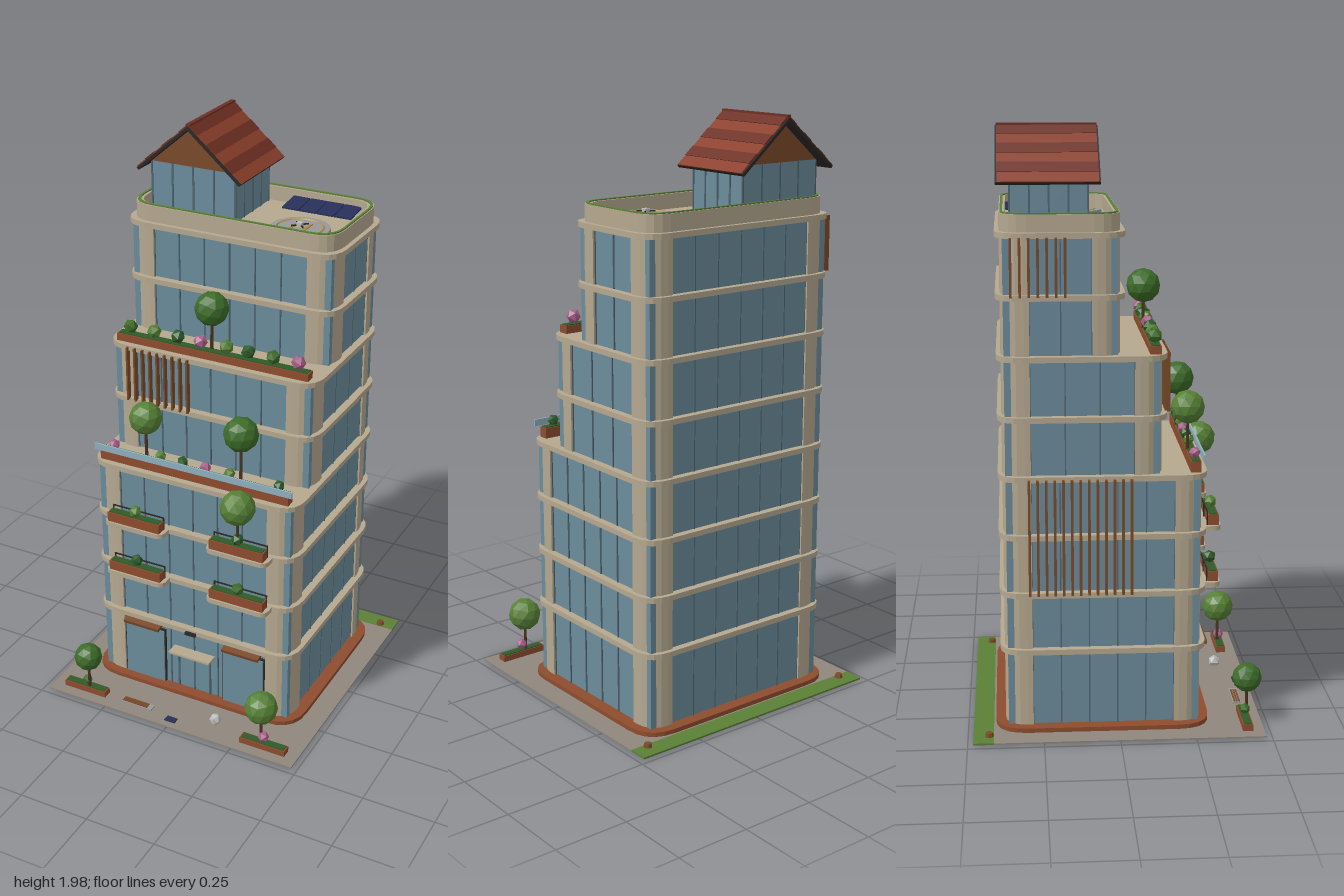
import * as THREE from 'three';

const mat = (color) => new THREE.MeshStandardMaterial({ color, flatShading: true });
const M = {
  cream: mat(0xb5a88f), glass: mat(0x6c8c9c), pane: mat(0x8fb0bf), frame: mat(0x4f6672), dark: mat(0x2b2724),
  terracotta: mat(0x8e4c2e), wood: mat(0x7a4a2a), roofA: mat(0x8c3f2c), roofB: mat(0x6e3024),
  paving: mat(0x8f877c), grass: mat(0x5a8036), soil: mat(0x2f5a28), leafA: mat(0x3c6b28), leafB: mat(0x568035),
  leafC: mat(0x2c5a2a), pink: mat(0xa8608a), trunk: mat(0x4a3220), solar: mat(0x27305a), grey: mat(0x989898),
  yellow: mat(0xb08a30), rock: mat(0xbababa),
};
const FLOOR = 0.195, Y1 = 0.3, BACK = -0.375, HALF = 0.372;
const floorY = (i) => Y1 + (i - 1) * FLOOR; // top of storey i

export function createModel() {
  const root = new THREE.Group();

  const add = (name, geo, m, x = 0, y = 0, z = 0, parent = root) => {
    const mesh = new THREE.Mesh(geo, m);
    mesh.name = name;
    mesh.position.set(x, y, z);
    parent.add(mesh);
    return mesh;
  };
  // box given by its extents
  const box = (name, m, x0, x1, y0, y1, z0, z1, parent = root) =>
    add(name, new THREE.BoxGeometry(x1 - x0, y1 - y0, z1 - z0), m, (x0 + x1) / 2, (y0 + y1) / 2, (z0 + z1) / 2, parent);

  // rounded outline in plan (shape y is -z), with one radius per corner
  const outline = (Target, x0, x1, z0, z1, [a, b, c, d]) => {
    const s = new Target(), y0 = -z1, y1 = -z0;
    s.moveTo(x0 + a, y0).lineTo(x1 - b, y0);
    if (b) s.quadraticCurveTo(x1, y0, x1, y0 + b);
    s.lineTo(x1, y1 - c);
    if (c) s.quadraticCurveTo(x1, y1, x1 - c, y1);
    s.lineTo(x0 + d, y1);
    if (d) s.quadraticCurveTo(x0, y1, x0, y1 - d);
    s.lineTo(x0, y0 + a);
    if (a) s.quadraticCurveTo(x0, y0, x0 + a, y0);
    return s;
  };
  const slab = (name, m, x0, x1, y0, y1, z0, z1, radii, wall = 0) => {
    const s = outline(THREE.Shape, x0, x1, z0, z1, radii);
    if (wall) s.holes.push(outline(THREE.Path, x0 + wall, x1 - wall, z0 + wall, z1 - wall, radii.map((r) => r - wall * 0.6)));
    const g = new THREE.ExtrudeGeometry(s, { depth: y1 - y0, bevelEnabled: false, curveSegments: 5 });
    return add(name, g.rotateX(-Math.PI / 2), m, 0, y0, 0);
  };
  const round = (r) => [r, r, r, r];

  // plot and plinth
  box('paving', M.paving, -0.48, 0.48, 0.022, 0.027, -0.415, 0.48);
  box('lawnStrip', M.grass, -0.48, 0.48, 0.022, 0.028, -0.482, -0.415);
  slab('plinth', M.terracotta, -0.405, 0.405, 0.019, 0.042, -0.408, 0.305, round(0.11));

  // three stepped tiers: glass core, corner pillars, mullions
  const tiers = [[0.04, floorY(4), 0.275], [floorY(4), floorY(6), 0.143], [floorY(6), floorY(8), 0.007]];
  const P = 0.092;
  for (const [y0, y1, front] of tiers) {
    box('glassCore', M.glass, -HALF + 0.01, HALF - 0.01, y0, y1, BACK + 0.01, front - 0.01);
    for (const [i, sx, sz] of [[0, -1, 1], [1, 1, 1], [2, 1, -1], [3, -1, -1]]) {
      const radii = [0, 0, 0, 0];
      radii[i] = 0.075;
      const x0 = sx < 0 ? -HALF : HALF - P, z0 = sz < 0 ? BACK : front - P;
      slab('cornerPillar', M.cream, x0, x0 + P, y0, y1, z0, z0 + P, radii);
    }
    for (let k = 0; k <= 6; k++) {
      const x = -0.28 + (k * 0.56) / 6;
      for (const z of [BACK + 0.009, front - 0.009])
        box('mullion', M.frame, x - 0.002, x + 0.002, y0, y1, z - 0.003, z + 0.003);
    }
    const za = BACK + P, zb = front - P, n = Math.max(2, Math.round((zb - za) / 0.1));
    for (let k = 0; k <= n; k++) {
      const z = za + ((zb - za) * k) / n;
      for (const x of [-HALF + 0.009, HALF - 0.009])
        box('mullion', M.frame, x - 0.003, x + 0.003, y0, y1, z - 0.002, z + 0.002);
    }
  }
  // floor bands
  for (let i = 1; i <= 8; i++) {
    const front = i <= 4 ? 0.275 : i <= 6 ? 0.143 : 0.007, y = floorY(i);
    slab('floorBand', M.cream, -0.388, 0.388, y - 0.009, y + 0.009, BACK - 0.015, front + 0.016, round(0.085));
  }

  // roof terrace
  slab('parapet', M.cream, -HALF, HALF, 1.66, 1.73, BACK, 0.007, round(0.085), 0.02);
  slab('parapetGreenEdge', M.grass, -0.369, 0.369, 1.73, 1.734, BACK + 0.004, 0.003, round(0.085), 0.008);
  slab('roofDeck', M.cream, -0.36, 0.36, 1.66, 1.68, -0.363, -0.005, round(0.07));
  for (let k = 0; k < 4; k++) {
    const x = 0.062 + k * 0.0635;
    box('solarPanel', M.solar, x, x + 0.06, 1.698, 1.703, -0.36, -0.262).rotation.x = 0.12;
    box('panelLeg', M.grey, x + 0.027, x + 0.033, 1.68, 1.7, -0.33, -0.3);
  }
  const pad = new THREE.Group();
  pad.name = 'landingPad';
  pad.position.set(0.192, 1.68, -0.125);
  root.add(pad);
  add('padDisc', new THREE.CylinderGeometry(0.1, 0.102, 0.012, 24), M.grey, 0, 0.006, 0, pad);
  add('padRing', new THREE.TorusGeometry(0.078, 0.003, 4, 32).rotateX(Math.PI / 2), M.yellow, 0, 0.012, 0, pad);
  for (const s of [-1, 1]) {
    box('padMark', M.yellow, s * 0.024 - 0.004, s * 0.024 + 0.004, 0.012, 0.015, -0.04, 0.04, pad);
    box('droneArm', M.dark, -0.03, 0.03, 0.02, 0.024, -0.002, 0.002, pad).rotation.y = (s * Math.PI) / 4;
  }
  box('padMarkBar', M.yellow, -0.024, 0.024, 0.012, 0.015, -0.004, 0.004, pad);
  box('droneBody', M.rock, -0.01, 0.01, 0.015, 0.03, -0.01, 0.01, pad);

  // gabled penthouse
  const cx = -0.182;
  box('penthouseGlass', M.glass, -0.337, -0.027, 1.68, 1.85, -0.34, -0.095);
  for (let k = 0; k <= 4; k++) {
    const x = -0.337 + k * 0.0775;
    for (const z of [-0.34, -0.095]) box('penthousePost', M.frame, x - 0.003, x + 0.003, 1.68, 1.85, z - 0.003, z + 0.003);
    const z = -0.34 + k * 0.06125;
    for (const px of [-0.337, -0.027]) box('penthousePost', M.frame, px - 0.003, px + 0.003, 1.68, 1.85, z - 0.003, z + 0.003);
  }
  const gable = new THREE.Shape([[-0.168, 0], [0.168, 0], [0, 0.138]].map((p) => new THREE.Vector2(...p)));
  add('gable', new THREE.ExtrudeGeometry(gable, { depth: 0.25, bevelEnabled: false }), M.wood, cx, 1.848, -0.343);
  const slope = Math.atan2(0.165, 0.193), run = Math.hypot(0.165, 0.193), strips = 6;
  for (const s of [-1, 1]) {
    const side = new THREE.Group();
    side.name = 'roofSlope';
    side.position.set(cx, 1.993, -0.22);
    side.rotation.z = -s * slope;
    root.add(side);
    box('roofBoard', M.dark, s < 0 ? -run : 0, s < 0 ? 0 : run, -0.01, 0, -0.163, 0.163, side);
    for (let k = 0; k < strips; k++) {
      const a = (s * run * k) / strips, b = (s * run * (k + 1)) / strips;
      box('roofCourse', k % 2 ? M.roofA : M.roofB, Math.min(a, b), Math.max(a, b), 0, k % 2 ? 0.004 : 0.006, -0.158, 0.158, side);
    }
  }
  box('ridgeCap', M.roofB, cx - 0.008, cx + 0.008, 1.99, 2, -0.38, -0.06);

  // plants
  const leaves = [M.leafA, M.leafB, M.leafC];
  let seed = 0;
  const bush = (x, y, z, r, m = leaves[seed % 3]) => {
    const b = add('bush', new THREE.IcosahedronGeometry(r, 0), m, x, y, z);
    b.rotation.y = seed++ * 1.3;
  };
  const tree = (x, y, z, r, y0) => {
    add('treeTrunk', new THREE.CylinderGeometry(0.004, 0.006, y - y0, 6), M.trunk, x, (y + y0) / 2, z);
    const c = add('treeCrown', new THREE.IcosahedronGeometry(r, 1), leaves[seed % 2], x, y, z);
    c.rotation.set(0.3, seed++ * 0.9, 0.2);
  };
  const planter = (x0, x1, y0, y1, z0, z1) => {
    box('planter', M.terracotta, x0, x1, y0, y1, z0, z1);
    box('planterSoil', M.soil, x0 + 0.005, x1 - 0.005, y1, y1 + 0.003, z0 + 0.004, z1 - 0.004);
  };

  // terrace planters
  planter(-0.355, 0.352, 1.279, 1.31, 0.1, 0.136);
  [-0.31, -0.22, -0.13, -0.045, 0.05, 0.13, 0.22, 0.31].forEach((x, i) =>
    bush(x, 1.336, 0.118, 0.025, i === 3 || i === 7 ? M.pink : undefined));
  tree(-0.01, 1.455, 0.105, 0.058, 1.31);
  planter(-0.355, 0.352, 0.893, 0.93, 0.234, 0.268);
  [-0.31, -0.13, -0.045, 0.04, 0.13, 0.31].forEach((x, i) =>
    bush(x, 0.95, 0.25, 0.02, i === 0 || i === 3 ? M.pink : undefined));
  tree(-0.19, 1.075, 0.24, 0.057, 0.93);
  tree(0.167, 1.1, 0.24, 0.06, 0.93);
  box('glassRail', M.pane, -0.37, 0.37, 0.932, 0.955, 0.274, 0.28);

  // balconies
  for (const y of [floorY(2), floorY(3)]) for (const s of [-1, 1]) {
    const x = s * 0.195;
    slab('balconyLedge', M.cream, x - 0.115, x + 0.115, y - 0.008, y + 0.008, 0.27, 0.342, [0.03, 0.03, 0, 0]);
    planter(x - 0.1, x + 0.1, y + 0.008, y + 0.042, 0.3, 0.335);
    box('balconyRail', M.dark, x - 0.1, x + 0.1, y + 0.05, y + 0.054, 0.295, 0.299);
    for (const e of [-0.098, 0, 0.098]) box('railPost', M.dark, x + e - 0.002, x + e + 0.002, y, y + 0.052, 0.295, 0.299);
    bush(x, y + 0.062, 0.318, 0.022);
  }
  tree(0.197, 0.875, 0.322, 0.06, 0.74);

  // timber screens
  for (let k = 0; k < 9; k++) {
    const x = -0.3 + k * 0.0285;
    box('frontSlat', M.wood, x - 0.003, x + 0.003, 1.085, 1.28, 0.152, 0.17);
  }
  for (const [z0, z1, y0, y1] of [[-0.34, -0.17, 1.475, 1.66], [-0.29, 0.04, 0.5, 0.885]]) {
    const n = Math.round((z1 - z0) / 0.028);
    for (let k = 0; k <= n; k++) {
      const z = z0 + ((z1 - z0) * k) / n;
      box('sideSlat', M.wood, -0.405, -0.385, y0, y1, z - 0.004, z + 0.004);
    }
  }

  // entrance
  for (const s of [-1, 1]) {
    const x = s * 0.195;
    box('shopFrame', M.dark, x - 0.082, x + 0.082, 0.04, 0.262, 0.262, 0.272);
    box('shopWindow', M.glass, x - 0.077, x + 0.077, 0.042, 0.256, 0.264, 0.276);
    box('awning', M.wood, x - 0.07, x + 0.07, 0.272, 0.284, 0.265, 0.305).rotation.x = 0.2;
    box('doorFrame', M.frame, s * 0.062 - 0.003, s * 0.062 + 0.003, 0.04, 0.2, 0.262, 0.27);
  }
  box('doorSplit', M.frame, -0.002, 0.002, 0.04, 0.2, 0.262, 0.27);
  box('entranceCanopy', M.cream, -0.08, 0.08, 0.2, 0.208, 0.262, 0.312);
  box('entranceLamp', M.dark, -0.02, 0.02, 0.29, 0.302, 0.28, 0.3);

  // forecourt
  planter(-0.436, -0.27, 0.02, 0.048, 0.408, 0.442);
  planter(0.266, 0.436, 0.02, 0.048, 0.408, 0.442);
  tree(-0.338, 0.177, 0.432, 0.05, 0.045);
  tree(0.338, 0.185, 0.42, 0.058, 0.045);
  bush(-0.35, 0.07, 0.425, 0.018);
  bush(0.35, 0.07, 0.425, 0.02, M.pink);
  add('rock', new THREE.IcosahedronGeometry(0.022, 0), M.rock, 0.145, 0.042, 0.385);
  box('benchBase', M.grey, -0.208, -0.086, 0.027, 0.032, 0.405, 0.434);
  for (const z of [0.412, 0.42, 0.428]) box('benchSlat', M.wood, -0.203, -0.105, 0.032, 0.036, z - 0.0025, z + 0.0025);
  box('doorMat', M.solar, -0.02, 0.02, 0.027, 0.031, 0.431, 0.456);
  for (const x of [-0.425, 0.425]) add('stump', new THREE.CylinderGeometry(0.012, 0.015, 0.014, 7), M.wood, x, 0.034, -0.43);

  return root;
}
